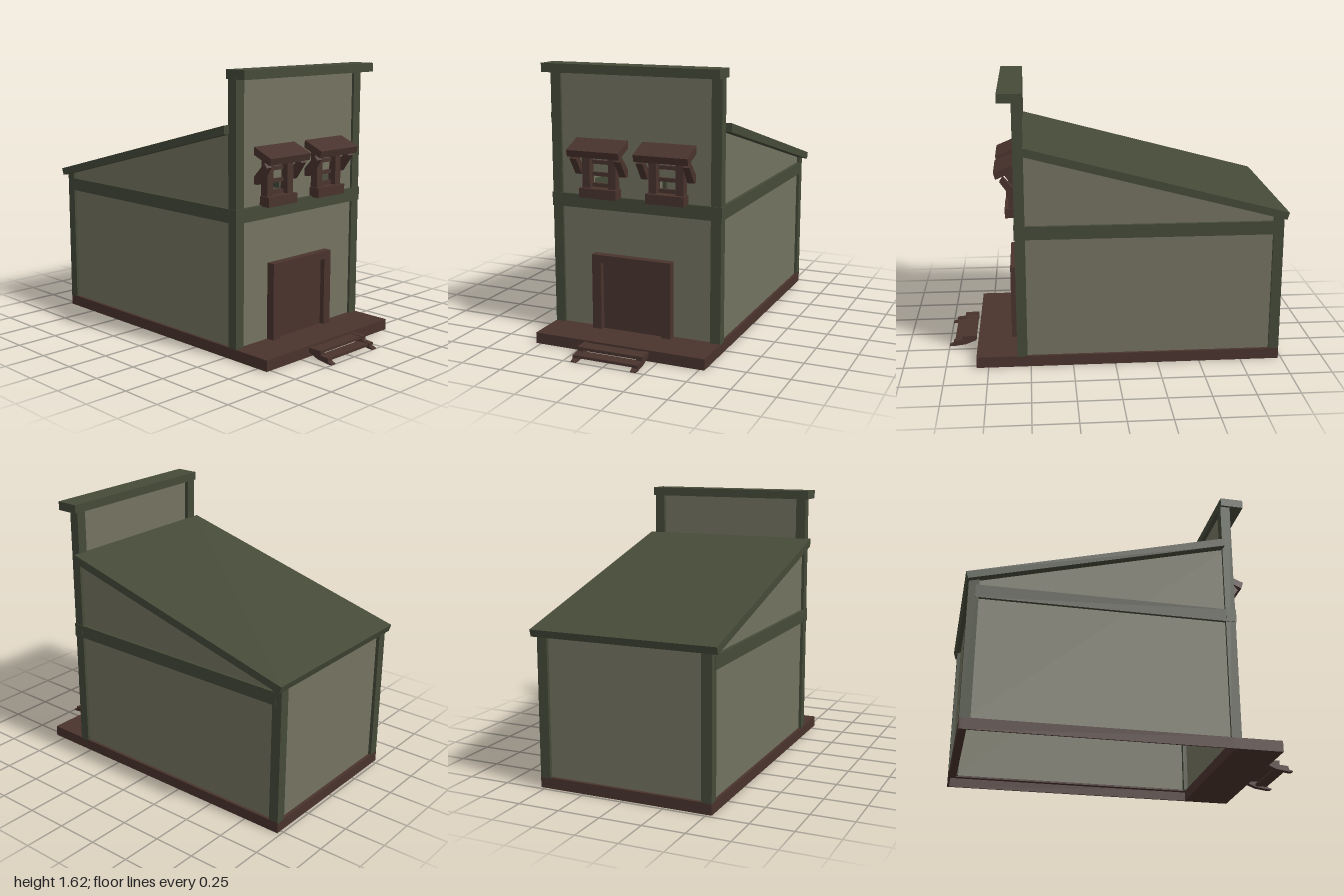
import * as THREE from 'three';

export function createModel() {
  const root = new THREE.Group();
  const mat = (name, color) => new THREE.MeshStandardMaterial({ name, color });
  const plaster = mat('plaster', 0x737260);
  const green = mat('green trim', 0x454a38);
  const brown = mat('brown wood', 0x49332d);

  const add = (name, geo, m, parent = root) => {
    const mesh = new THREE.Mesh(geo, m);
    mesh.name = name;
    parent.add(mesh);
    return mesh;
  };
  // box from its limits
  const box = (name, m, x0, x1, y0, y1, z0, z1, parent) => {
    const g = new THREE.BoxGeometry(x1 - x0, y1 - y0, z1 - z0);
    g.translate((x0 + x1) / 2, (y0 + y1) / 2, (z0 + z1) / 2);
    return add(name, g, m, parent);
  };
  // side profile of [z, y] points, extruded across x and centred on cx
  const profile = (name, m, pts, cx, width, parent) => {
    const shape = new THREE.Shape(pts.map(([z, y]) => new THREE.Vector2(z, y)));
    const g = new THREE.ExtrudeGeometry(shape, { depth: width, bevelEnabled: false });
    g.rotateY(-Math.PI / 2);
    g.translate(cx + width / 2, 0, 0);
    return add(name, g, m, parent);
  };

  // Base: porch slab and a thin skirt around the open underside
  box('porch', brown, -0.53, 0.53, 0, 0.065, 0.54, 0.82);
  box('backSkirt', brown, -0.53, 0.53, 0, 0.065, -0.98, -0.97);
  for (const s of [-1, 1]) {
    const cx = s * 0.525;
    box('sideSkirt', brown, cx - 0.005, cx + 0.005, 0, 0.065, -0.97, 0.54);
    box('baseLedge', brown, s * 0.51 - 0.02, s * 0.51 + 0.02, 0.055, 0.065, -0.97, 0.54);
  }
  box('backLedge', brown, -0.53, 0.53, 0.055, 0.065, -0.97, -0.93);

  // Front wall with two window openings
  const front = new THREE.Shape([[-0.5, 0.06], [0.5, 0.06], [0.5, 1.6], [-0.5, 1.6]]
    .map(p => new THREE.Vector2(...p)));
  for (const x of [-0.21, 0.21]) {
    front.holes.push(new THREE.Path([[x - 0.06, 0.91], [x - 0.06, 0.99], [x + 0.06, 0.99], [x + 0.06, 0.91]]
      .map(p => new THREE.Vector2(...p))));
  }
  const frontGeo = new THREE.ExtrudeGeometry(front, { depth: 0.02, bevelEnabled: false });
  frontGeo.translate(0, 0, 0.545);
  add('frontWall', frontGeo, plaster);
  box('backWall', plaster, -0.5, 0.5, 0.06, 0.89, -0.96, -0.945);

  // Side walls, posts and bands
  for (const s of [-1, 1]) {
    profile('sideWall', plaster, [[-0.95, 0.06], [0.55, 0.06], [0.55, 1.28], [-0.95, 0.9]], s * 0.505, 0.015);
    const x0 = s > 0 ? 0.468 : -0.53, x1 = x0 + 0.062;
    box('frontPost', green, x0, x1, 0.06, 1.58, 0.52, 0.58);
    profile('backPost', green, [[-0.98, 0.06], [-0.92, 0.06], [-0.92, 0.915], [-0.98, 0.9]], (x0 + x1) / 2, 0.062);
    box('sideBand', green, s * 0.506 - 0.026, s * 0.506 + 0.026, 0.782, 0.86, -0.94, 0.56);
  }
  box('frontBand', green, -0.534, 0.534, 0.782, 0.862, 0.525, 0.584);
  box('cornice', green, -0.545, 0.545, 1.573, 1.625, 0.52, 0.66);

  // Lean-to roof
  profile('roof', green, [[0.525, 1.275], [0.525, 1.325], [-1, 0.92], [-0.987, 0.878]], 0, 1.13);

  // Door with its frame
  box('doorPanel', brown, -0.2, 0.175, 0.06, 0.465, 0.56, 0.59);
  box('doorPostRight', brown, -0.262, -0.205, 0.06, 0.47, 0.56, 0.615);
  box('doorPostLeft', brown, 0.18, 0.237, 0.06, 0.47, 0.56, 0.615);
  box('doorLintel', brown, -0.262, 0.237, 0.47, 0.517, 0.56, 0.615);

  // Windows with slats, sill, awning and braces
  for (const x of [-0.21, 0.21]) {
    const win = new THREE.Group();
    win.name = 'window';
    win.position.x = x;
    root.add(win);
    box('sill', brown, -0.118, 0.118, 0.855, 0.912, 0.56, 0.635, win);
    for (const s of [-1, 1]) {
      const c = s * 0.083;
      box('windowPost', brown, c - 0.024, c + 0.024, 0.91, 1.13, 0.56, 0.612, win);
      profile('awningBrace', brown, [[0.565, 0.985], [0.59, 0.985], [0.66, 1.085], [0.64, 1.11], [0.565, 1.03]],
        s * 0.142, 0.042, win);
    }
    for (const y of [0.925, 0.99, 1.06]) {
      box('slat', brown, -0.06, 0.06, y - 0.011, y + 0.011, 0.56, 0.58, win);
    }
    box('windowHead', brown, -0.105, 0.105, 1.095, 1.13, 0.56, 0.612, win);
    profile('awning', brown, [[0.56, 1.152], [0.683, 1.1], [0.695, 1.14], [0.56, 1.197]], 0, 0.33, win);
  }

  // Front steps
  const steps = new THREE.Group();
  steps.name = 'steps';
  root.add(steps);
  for (const s of [-1, 1]) {
    profile('stringer', brown, [[1, 0], [1, 0.005], [0.975, 0.014], [0.975, 0.033], [0.92, 0.038], [0.92, 0.063],
      [0.835, 0.063], [0.835, 0.036], [0.9, 0.01], [0.975, 0]], s * 0.184, 0.035, steps);
  }
  box('upperTread', brown, -0.167, 0.167, 0.045, 0.06, 0.835, 0.915, steps);
  box('lowerTread', brown, -0.167, 0.167, 0.015, 0.03, 0.895, 0.968, steps);

  return root;
}
